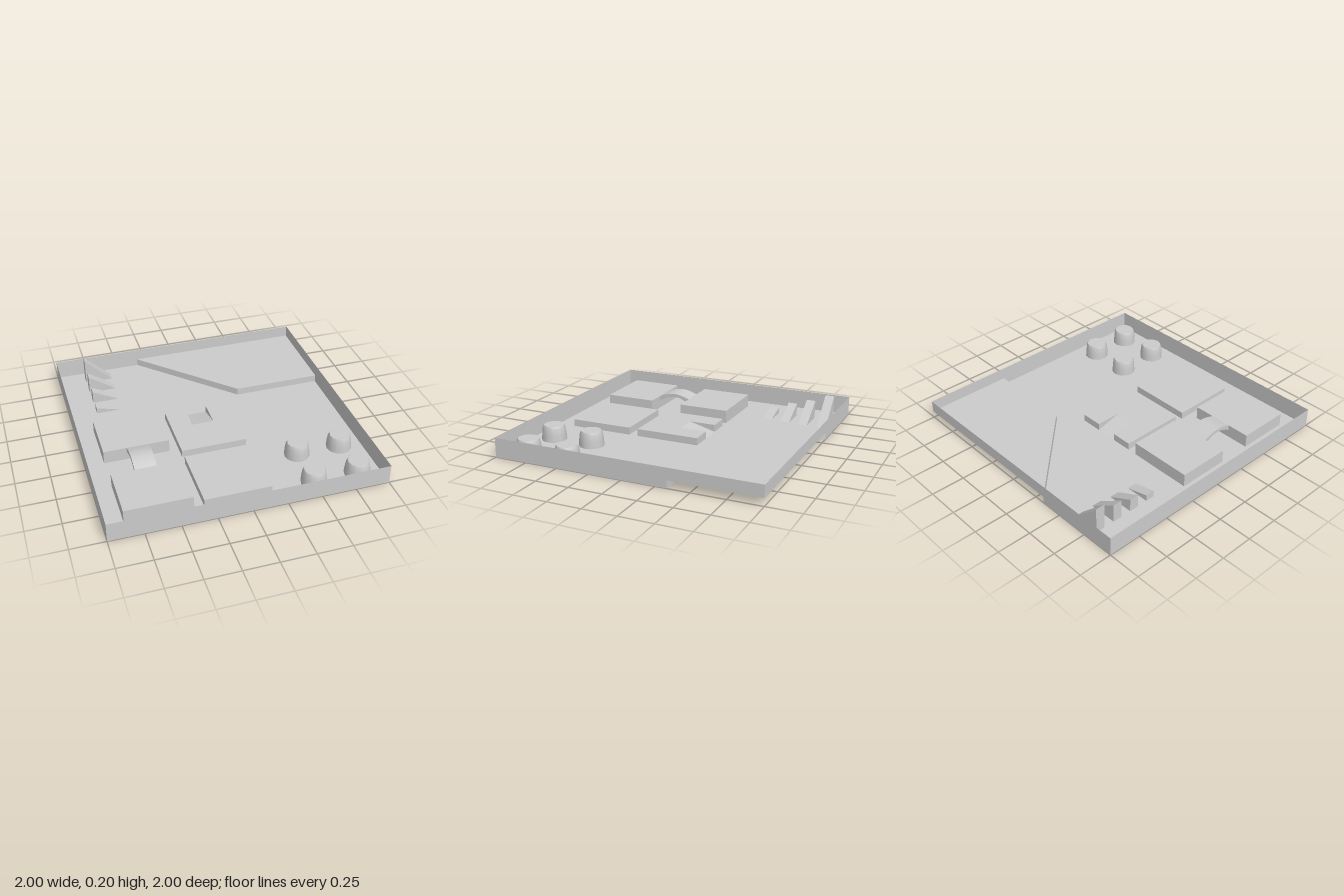
import * as THREE from 'three';

const material = new THREE.MeshStandardMaterial({ color: 0xcccccc, side: THREE.DoubleSide });

// Outline of a rectangle as [x, z] points
const rect = (x0, x1, z0, z1) => [[x0, z1], [x1, z1], [x1, z0], [x0, z0]];

// Regular polygon as [x, z] points
const ring = (cx, cz, r, n) => Array.from({ length: n }, (_, i) => {
  const a = (i / n) * Math.PI * 2;
  return [cx + Math.sin(a) * r, cz + Math.cos(a) * r];
});

export function createModel() {
  const model = new THREE.Group();

  function add(parent, name, geometry) {
    const mesh = new THREE.Mesh(geometry, material);
    mesh.name = name;
    parent.add(mesh);
    return mesh;
  }

  function group(name) {
    const g = new THREE.Group();
    g.name = name;
    model.add(g);
    return g;
  }

  // Level sheet at height y, with optional holes
  function sheet(outline, y, holes = []) {
    const toV = ([x, z]) => new THREE.Vector2(x, -z);
    const shape = new THREE.Shape(outline.map(toV));
    shape.holes = holes.map(h => new THREE.Path(h.map(toV)));
    return new THREE.ShapeGeometry(shape).rotateX(-Math.PI / 2).translate(0, y, 0);
  }

  // Flat convex face from 3D corners
  function fans(...faces) {
    const pos = [];
    for (const f of faces) {
      for (let i = 1; i < f.length - 1; i++) pos.push(...f[0], ...f[i], ...f[i + 1]);
    }
    const g = new THREE.BufferGeometry();
    g.setAttribute('position', new THREE.Float32BufferAttribute(pos, 3));
    g.computeVertexNormals();
    return g;
  }

  // Upright strip of wall along a path of [x, z] points
  function wall(path, y0, y1) {
    return fans(...path.slice(1).map(([bx, bz], i) => {
      const [ax, az] = path[i];
      return [[ax, y0, az], [bx, y0, bz], [bx, y1, bz], [ax, y1, az]];
    }));
  }
  const close = p => [...p, p[0]];

  const step = 0.055, rim = 0.145, low = 0.055, high = 0.1;
  const blockA = rect(-0.86, -0.375, -0.185, 0.21);
  const blockB = rect(-0.86, -0.375, 0.465, 0.86);
  const blockC = rect(-0.305, 0.185, -0.185, 0.305);
  const blockD = rect(-0.305, 0.185, 0.375, 0.86);
  const wedges = [[0.2, 0.21], [0.143, 0.21], [0.1, 0.195], [0.048, 0.18]]
    .map(([h, len], i) => ({ h, x0: -0.79, x1: -0.79 + len, z0: -0.93 + i * 0.15, z1: -0.86 + i * 0.15 }));
  const posts = [];
  for (const x of [0.5, 0.83]) for (const z of [0.517, 0.837]) posts.push([x, z]);

  // Floor with an opening below every raised part
  add(model, 'floor', sheet(
    [[-1, 1], [1, 1], [1, -0.335], [0.333, -0.335], [-0.333, -1], [-1, -1]], 0,
    [blockA, blockB, blockC, blockD,
      ...wedges.map(w => rect(w.x0, w.x1, w.z0, w.z1)),
      ...posts.map(([x, z]) => ring(x, z, 0.093, 12))]));

  // Raised back corner and its riser
  const corner = group('raisedCorner');
  add(corner, 'cornerFloor', sheet([[-0.333, -1], [0.333, -0.335], [1, -0.335], [1, -1]], step));
  add(corner, 'cornerRiser', wall([[-0.333, -1], [0.333, -0.335], [1, -0.335]], 0, step));

  // Thin rim walls, lifted where the corner is raised
  const rims = group('rimWalls');
  add(rims, 'lowerRim', wall([[-0.333, -1], [-1, -1], [-1, 1], [1, 1], [1, -0.335]], 0, rim));
  add(rims, 'cornerRim', wall([[1, -0.335], [1, -1], [-0.333, -1]], step, rim));

  // Plain hollow blocks
  for (const [name, outline, h] of [['backBlock', blockA, high], ['frontBlock', blockB, high], ['lowBlock', blockD, low]]) {
    const g = group(name);
    add(g, name + 'Top', sheet(outline, h));
    add(g, name + 'Sides', wall(close(outline), 0, h));
  }

  // Arched bridge between the two tall blocks
  const arch = new THREE.Shape();
  const z0 = 0.21, z1 = 0.465, n = 12;
  const curve = (t, base, rise) => [z0 + (z1 - z0) * t, base + rise * Math.sin(Math.PI * t)];
  arch.moveTo(z0, high);
  for (let i = 1; i <= n; i++) arch.lineTo(...curve(i / n, high, 0.03));
  for (let i = n; i >= 0; i--) arch.lineTo(...curve(i / n, 0.06, 0.045));
  add(model, 'archBridge', new THREE.ExtrudeGeometry(arch, { depth: 0.16, bevelEnabled: false })
    .rotateY(-Math.PI / 2).translate(-0.53, 0, 0));

  // Low block with a ramp cut into its back edge
  const notch = group('notchedBlock');
  const [nl, nr, nb, nf] = [-0.145, 0.02, -0.185, 0.02];
  add(notch, 'notchedTop', sheet([[-0.305, 0.305], [0.185, 0.305], [0.185, nb], [nr, nb],
    [nr, nf], [nl, nf], [nl, nb], [-0.305, nb]], low));
  add(notch, 'notchedSides', wall([[nl, nb], [-0.305, nb], [-0.305, 0.305], [0.185, 0.305], [0.185, nb], [nr, nb]], 0, low));
  add(notch, 'notchRamp', fans(
    [[nl, 0, nb], [nl, low, nf], [nr, low, nf], [nr, 0, nb]],
    [[nl, 0, nb], [nl, low, nb], [nl, low, nf]],
    [[nr, 0, nb], [nr, low, nf], [nr, low, nb]]));

  // Row of wedges, each gentler than the one behind
  const row = group('wedgeRow');
  for (const { h, x0, x1, z0: b, z1: f } of wedges) {
    add(row, 'wedge', fans(
      [[x0, h, f], [x1, 0, f], [x1, 0, b], [x0, h, b]],
      [[x0, 0, b], [x0, 0, f], [x0, h, f], [x0, h, b]],
      [[x0, 0, f], [x1, 0, f], [x0, h, f]],
      [[x0, 0, b], [x0, h, b], [x1, 0, b]]));
  }

  // Four tapered hollow posts
  const postGroup = group('posts');
  const profile = [[0.093, 0], [0.09, 0.05], [0.084, 0.095], [0.075, 0.115]].map(p => new THREE.Vector2(...p));
  for (const [x, z] of posts) {
    add(postGroup, 'postSide', new THREE.LatheGeometry(profile, 12).translate(x, 0, z));
    add(postGroup, 'postTop', sheet(ring(x, z, 0.075, 12), 0.115));
  }

  return model;
}
